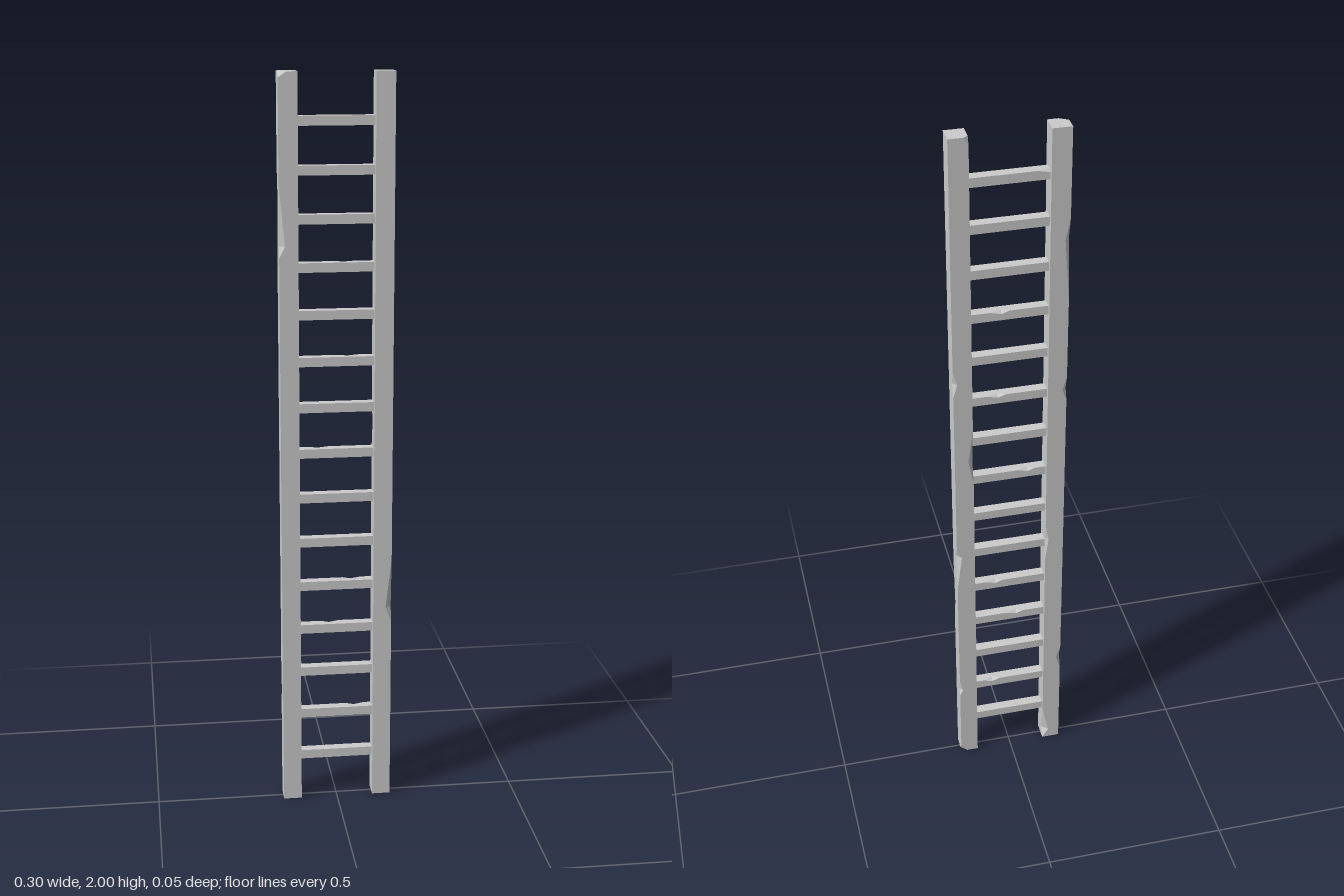
import * as THREE from 'three';

const material = new THREE.MeshStandardMaterial({ color: 0xcccccc, flatShading: true });

// Square beam along y whose corners may be chipped.
// chip: { sx, sz: which corner, from, peak, to: heights, dx, dz: cut depth at the peak }
function chippedBeam(width, depth, y0, y1, chips) {
  const levels = new Set([y0, y1]);
  for (const c of chips) for (const y of [c.from, c.peak, c.to]) levels.add(Math.min(y1, Math.max(y0, y)));
  const ys = [...levels].sort((a, b) => a - b);
  const w = width / 2, d = depth / 2;

  // cut depth of one corner at a height
  const cut = (sx, sz, y) => {
    let cx = 0, cz = 0;
    for (const c of chips) {
      if (c.sx !== sx || c.sz !== sz || y < c.from || y > c.to) continue;
      const t = y <= c.peak ? (c.peak === c.from ? 1 : (y - c.from) / (c.peak - c.from)) : (c.to - y) / (c.to - c.peak);
      cx = Math.max(cx, t * c.dx);
      cz = Math.max(cz, t * c.dz);
    }
    return [cx, cz];
  };

  // eight-point section: two points per corner
  const rings = ys.map((y) => {
    const ring = [];
    for (const [sx, sz] of [[1, 1], [1, -1], [-1, -1], [-1, 1]]) {
      const [cx, cz] = cut(sx, sz, y);
      const onSide = new THREE.Vector3(sx * w, y, sz * (d - cz));
      const onFace = new THREE.Vector3(sx * (w - cx), y, sz * d);
      ring.push(...(sx === sz ? [onFace, onSide] : [onSide, onFace]));
    }
    return ring;
  });

  const pos = [];
  const tri = (a, b, c) => {
    const n = b.clone().sub(a).cross(c.clone().sub(a));
    if (n.length() > 1e-9) for (const p of [a, b, c]) pos.push(p.x, p.y, p.z);
  };
  for (let k = 0; k < rings.length - 1; k++) {
    const lo = rings[k], hi = rings[k + 1];
    for (let i = 0; i < 8; i++) {
      const j = (i + 1) % 8;
      tri(lo[i], lo[j], hi[j]);
      tri(lo[i], hi[j], hi[i]);
    }
  }
  const bottom = rings[0], top = rings[rings.length - 1];
  for (let i = 1; i < 7; i++) {
    tri(bottom[0], bottom[i + 1], bottom[i]);
    tri(top[0], top[i], top[i + 1]);
  }
  const geometry = new THREE.BufferGeometry();
  geometry.setAttribute('position', new THREE.Float32BufferAttribute(pos, 3));
  geometry.computeVertexNormals();
  return geometry;
}

const chip = (sx, sz, from, peak, to, dx, dz) => ({ sx, sz, from, peak, to, dx, dz });

export function createModel() {
  const ladder = new THREE.Group();
  ladder.name = 'ladder';

  const add = (name, geometry, x, y, z) => {
    const mesh = new THREE.Mesh(geometry, material);
    mesh.name = name;
    mesh.position.set(x, y, z);
    ladder.add(mesh);
  };

  // Uprights with worn edges
  add('leftRail', chippedBeam(0.05, 0.05, 0, 2, [
    chip(1, 1, 0.52, 0.56, 0.7, 0.016, 0.011),
    chip(1, -1, 1.28, 1.32, 1.36, 0.011, 0.012),
    chip(1, -1, 0.64, 0.75, 0.78, 0.014, 0.016),
    chip(1, -1, 0.23, 0.25, 0.29, 0.009, 0.011),
    chip(1, -1, 0, 0, 0.025, 0.018, 0.016),
    chip(-1, -1, 1.0, 1.07, 1.17, 0.013, 0.014),
    chip(-1, -1, 1.98, 2, 2, 0.012, 0.008),
  ]), 0.125, 0, 0);
  add('rightRail', chippedBeam(0.05, 0.05, 0, 2, [
    chip(-1, 1, 1.53, 1.56, 1.72, 0.015, 0.012),
    chip(-1, 1, 1.985, 2, 2, 0.022, 0.014),
    chip(-1, -1, 1.53, 1.7, 1.76, 0.012, 0.014),
    chip(-1, -1, 1.23, 1.26, 1.3, 0.011, 0.011),
    chip(-1, -1, 0.28, 0.32, 0.36, 0.012, 0.012),
    chip(1, -1, 0.7, 0.77, 0.82, 0.009, 0.009),
    chip(1, -1, 0, 0.03, 0.12, 0.018, 0.016),
  ]), -0.125, 0, 0);

  // Rungs; some carry a chip on the upper back edge, given as its place along x
  const wear = { 14: -0.1, 11: 0.02, 9: 0.03, 7: -0.05, 4: 0.04, 3: -0.02, 1: 0.05 };
  for (let i = 0; i < 15; i++) {
    const x = wear[i];
    const chips = x === undefined ? [] : [chip(-1, -1, x - 0.02, x, x + 0.03, 0.007, 0.011)];
    const geometry = chippedBeam(0.025, 0.027, -0.102, 0.102, chips);
    geometry.rotateZ(-Math.PI / 2);
    add('rung' + (i + 1), geometry, 0, 0.127 + i * 0.125, -0.001);
  }
  return ladder;
}
